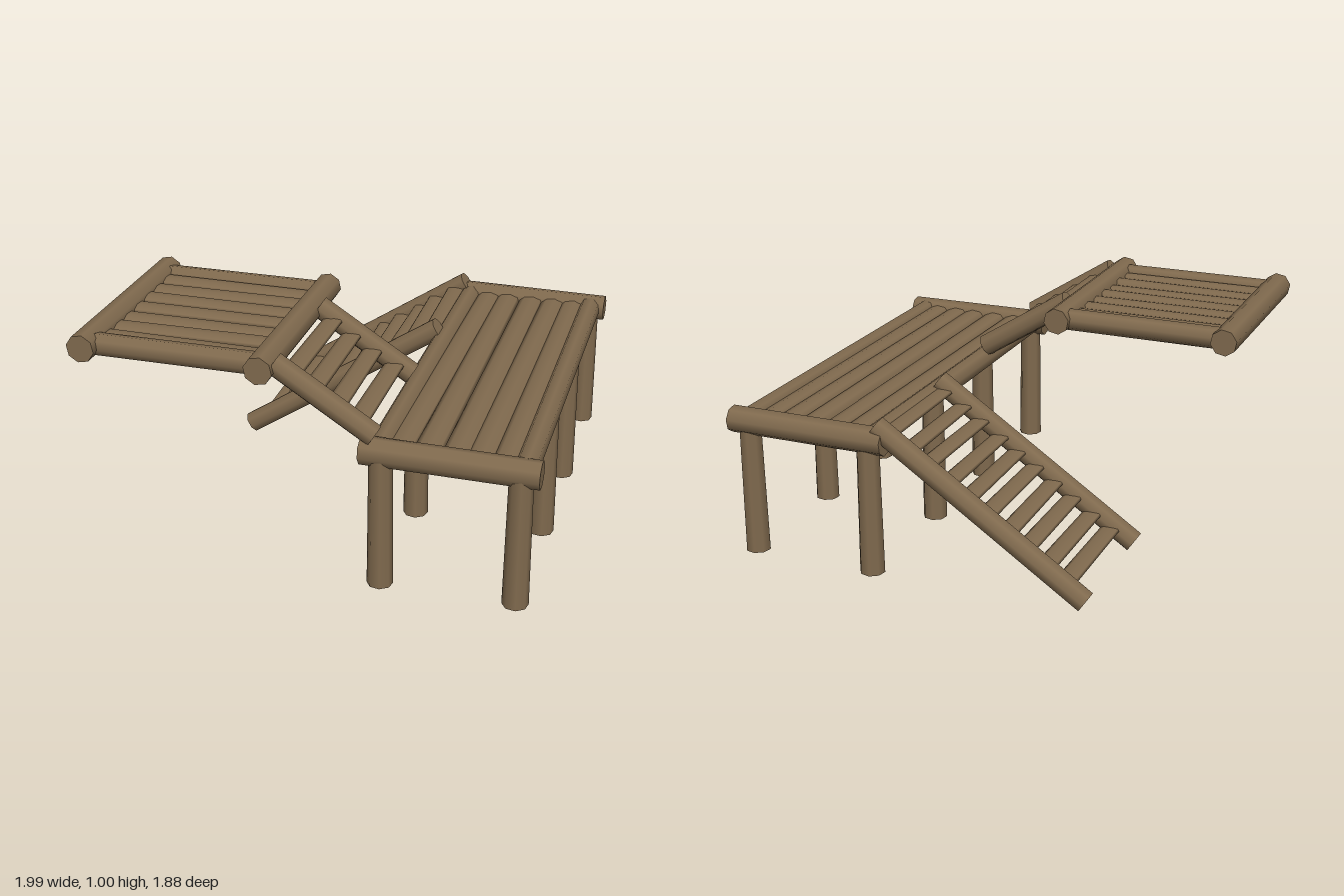
import * as THREE from 'three';

export function createModel() {
  const model = new THREE.Group();
  const wood = new THREE.MeshStandardMaterial({ color: 0x806a4e });
  wood.name = 'wood';

  let seed = 7;
  const jitter = (amount) => {
    seed = (seed * 16807) % 2147483647;
    return (seed / 2147483647 - 0.5) * 2 * amount;
  };

  // Eight-sided log from a to b; thickness < 1 flattens it into a split plank
  function log(parent, name, a, b, r0, r1 = r0, thickness = 1) {
    const start = new THREE.Vector3(...a);
    const end = new THREE.Vector3(...b);
    const dir = end.clone().sub(start);
    const geo = new THREE.CylinderGeometry(r1, r0, dir.length(), 8);
    geo.rotateY(Math.PI / 16);
    geo.scale(1, 1, thickness);
    dir.normalize();
    const ref = Math.abs(dir.y) > 0.9 ? new THREE.Vector3(0, 0, 1) : new THREE.Vector3(0, 1, 0);
    const side = new THREE.Vector3().crossVectors(dir, ref).normalize();
    const up = new THREE.Vector3().crossVectors(side, dir);
    const mesh = new THREE.Mesh(geo, wood);
    mesh.name = name;
    mesh.quaternion.setFromRotationMatrix(new THREE.Matrix4().makeBasis(side, dir, up));
    mesh.position.copy(start).add(end).multiplyScalar(0.5);
    parent.add(mesh);
  }

  function group(name) {
    const g = new THREE.Group();
    g.name = name;
    model.add(g);
    return g;
  }

  // Main deck: end logs, side rails, long planks
  const deck = group('mainDeck');
  for (const z of [0.88, -0.885]) log(deck, 'endLog', [0.25, 0.615, z], [0.99, 0.61, z], 0.061, 0.06);
  for (const x of [0.32, 0.92]) log(deck, 'sideRail', [x, 0.615, 0.86], [x, 0.615, -0.86], 0.051);
  for (const x of [0.41, 0.52, 0.63, 0.735, 0.835]) {
    log(deck, 'deckPlank', [x + jitter(0.008), 0.62, 0.84], [x + jitter(0.008), 0.62, -0.84],
      0.06, 0.057, 0.5);
  }

  // Posts under the deck
  const posts = group('posts');
  for (const x of [0.335, 0.91]) {
    for (const z of [0.885, 0.28, -0.265, -0.88]) {
      log(posts, 'post', [x, 0, z], [x, 0.6, z], 0.056, 0.05);
    }
  }

  // A stair: two sloping stringers with level treads between them
  function stair(name, low, high, zs, treadStart, count, step) {
    const g = group(name);
    for (const z of zs) log(g, 'stringer', [...low, z], [...high, z], 0.051);
    const slope = (high[1] - low[1]) / (high[0] - low[0]);
    for (let i = 0; i < count; i++) {
      const x = treadStart + i * step;
      const y = low[1] + (x - low[0]) * slope;
      log(g, 'tread', [x + jitter(0.008), y + jitter(0.003), zs[0]],
        [x + jitter(0.008), y + jitter(0.003), zs[1]], 0.047, 0.044, 0.28);
    }
  }
  stair('lowerStair', [-0.645, 0.05], [0.295, 0.675], [-0.875, -0.27], -0.55, 10, 0.089);
  stair('upperStair', [0.303, 0.68], [-0.117, 0.948], [0.87, 0.26], 0.23, 4, -0.094);

  // Raised platform
  const platform = group('upperPlatform');
  for (const x of [-0.937, -0.163]) log(platform, 'endLog', [x, 0.935, 0.94], [x, 0.935, -0.015], 0.062, 0.06);
  for (const z of [0.055, 0.86]) log(platform, 'sideRail', [-0.92, 0.932, z], [-0.18, 0.932, z], 0.049);
  for (let i = 0; i < 7; i++) {
    const z = 0.14 + i * 0.108;
    log(platform, 'platformPlank', [-0.92, 0.935 + jitter(0.004), z + jitter(0.005)],
      [-0.18, 0.935 + jitter(0.004), z + jitter(0.005)], 0.058, 0.055, 0.4);
  }

  return model;
}
